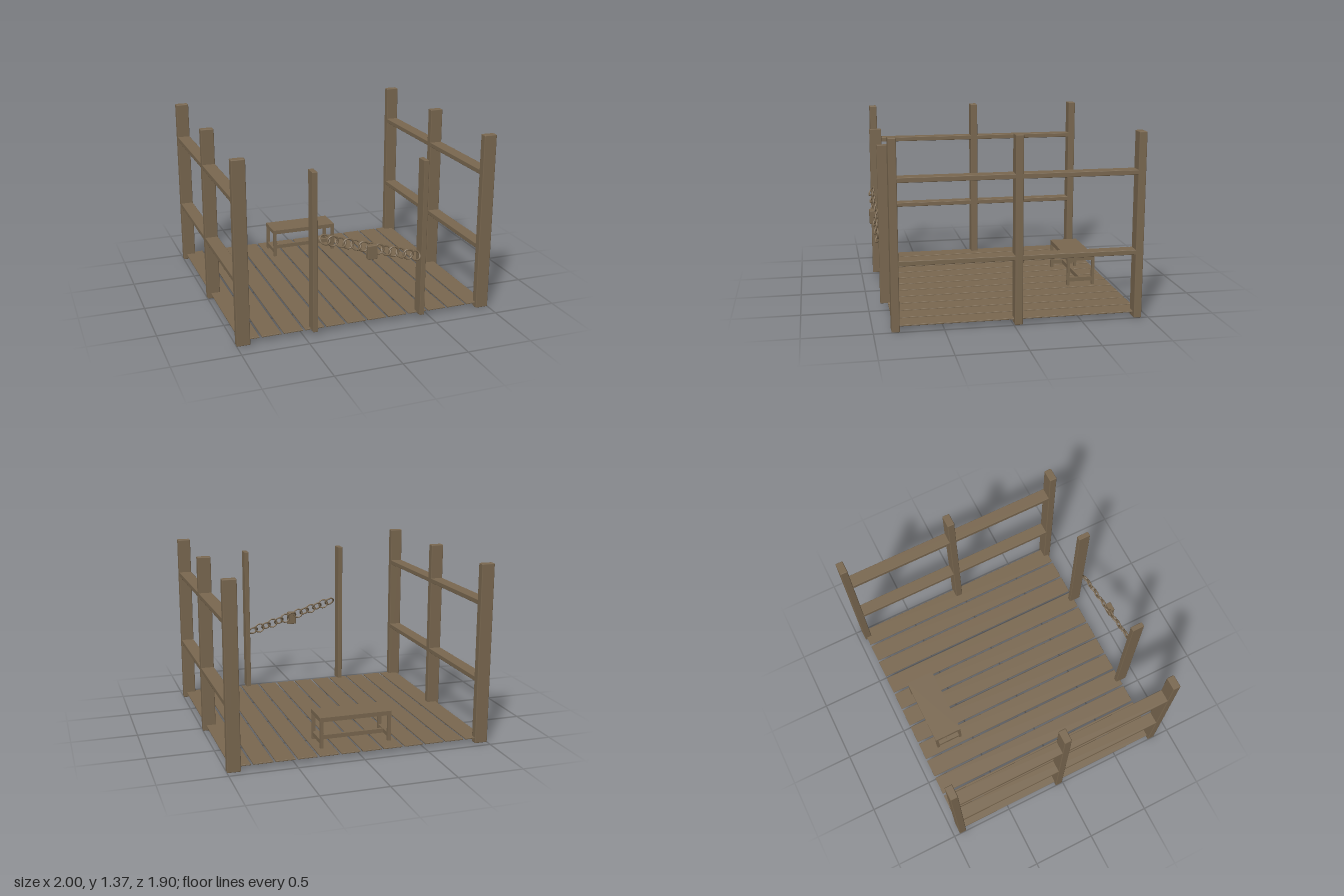
import * as THREE from 'three';
import { RoundedBoxGeometry } from 'three/addons/geometries/RoundedBoxGeometry.js';

const wood = new THREE.MeshStandardMaterial({ color: 0x7a6850 });
wood.name = 'weatheredBrown';

// Box given by its min and max corners, optionally with a small edge bevel
function slab(name, [x0, y0, z0], [x1, y1, z1], bevel = 0) {
  const size = [x1 - x0, y1 - y0, z1 - z0];
  const geometry = bevel
    ? new RoundedBoxGeometry(...size, 1, bevel)
    : new THREE.BoxGeometry(...size);
  const mesh = new THREE.Mesh(geometry, wood);
  mesh.name = name;
  mesh.position.set((x0 + x1) / 2, (y0 + y1) / 2, (z0 + z1) / 2);
  return mesh;
}

function group(name) {
  const g = new THREE.Group();
  g.name = name;
  return g;
}

// Deck of twelve planks with narrow gaps
function makeDeck() {
  const g = group('deck');
  for (let i = 0; i < 12; i++) {
    const x = (i - 5.5) * 0.1636;
    g.add(slab('plank', [x - 0.073, 0.034, -0.935], [x + 0.073, 0.045, 0.855], 0.003));
  }
  return g;
}

// Side fence: three tall posts joined by two rails
function makeFence(side) {
  const g = group(side > 0 ? 'leftFence' : 'rightFence');
  const x0 = side > 0 ? 0.9 : -1;
  for (const z of [-0.921, -0.035, 0.844]) {
    g.add(slab('fencePost', [x0, 0, z - 0.029], [x0 + 0.1, 1.37, z + 0.029], 0.006));
  }
  for (const y of [0.495, 1.08]) {
    g.add(slab('fenceRail', [x0 + 0.001, y - 0.018, -0.921], [x0 + 0.099, y + 0.018, 0.844], 0.004));
  }
  return g;
}

// Bench: top, four legs and an H-shaped stretcher
function makeBench() {
  const g = group('bench');
  g.add(slab('benchTop', [-0.277, 0.246, -0.806], [0.277, 0.279, -0.582]));
  for (const s of [-1, 1]) {
    const [xa, xb] = s > 0 ? [0.25, 0.276] : [-0.276, -0.25];
    g.add(slab('benchLeg', [xa, 0.045, -0.805], [xb, 0.246, -0.784]));
    g.add(slab('benchLeg', [xa, 0.045, -0.604], [xb, 0.246, -0.583]));
    g.add(slab('benchSideStretcher', [xa + 0.002, 0.075, -0.784], [xb - 0.002, 0.107, -0.604]));
  }
  g.add(slab('benchLongStretcher', [-0.252, 0.075, -0.706], [0.252, 0.107, -0.682]));
  return g;
}

// Sagging chain: alternating upright and tilted oval links, with a lock
function makeChain() {
  const g = group('chain');
  const link = new THREE.TorusGeometry(0.036, 0.0065, 8, 20);
  link.scale(1.08, 1, 1);
  const slope = Math.atan2(-0.215, 0.705);
  for (let i = 0; i < 13; i++) {
    const t = i / 12;
    const holder = group('linkHolder');
    holder.position.set(-0.35 + 0.705 * t, 0.74 - 0.215 * t, 0.908);
    holder.rotation.z = slope;
    const mesh = new THREE.Mesh(link, wood);
    mesh.name = 'chainLink';
    mesh.rotation.x = i % 2 ? 0 : -0.6;
    holder.add(mesh);
    g.add(holder);
  }
  g.add(slab('lock', [-0.038, 0.556, 0.908], [0.036, 0.662, 0.95], 0.005));
  return g;
}

export function createModel() {
  const model = group('fencedDeck');
  model.add(makeDeck(), makeFence(-1), makeFence(1), makeBench(), makeChain());
  // Thin gate posts at the entrance
  for (const s of [-1, 1]) {
    const x = s * 0.422;
    model.add(slab('gatePost', [x - 0.019, 0.036, 0.815], [x + 0.019, 1.24, 0.91], 0.004));
  }
  return model;
}
